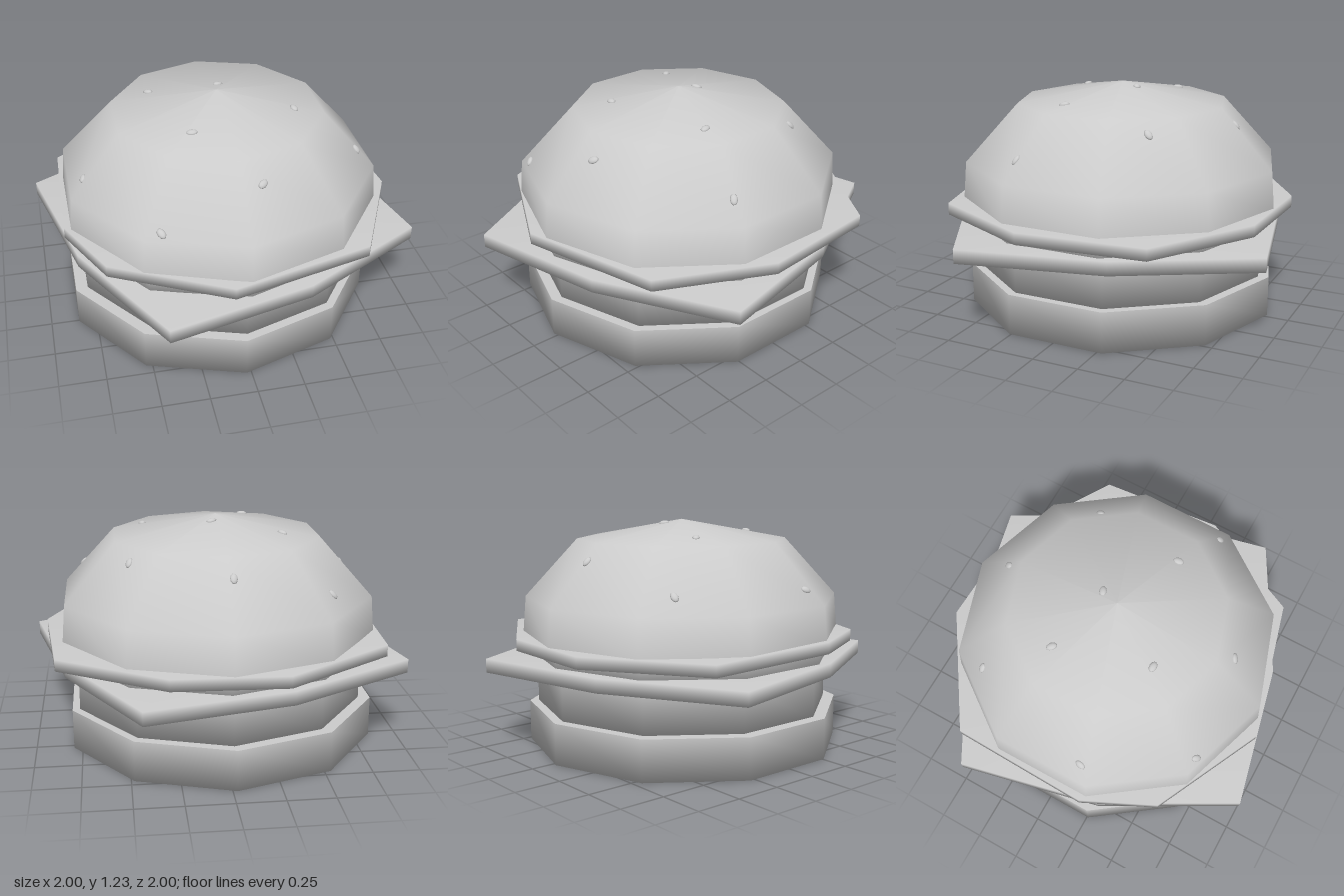
import * as THREE from 'three';

const SIDES = 10;
const material = new THREE.MeshStandardMaterial({ color: 0xcccccc });

function add(group, name, geometry) {
  const mesh = new THREE.Mesh(geometry, material);
  mesh.name = name;
  group.add(mesh);
  return mesh;
}

// Ten-sided turned part; a repeated profile point makes a sharp edge
function turned(profile) {
  return new THREE.LatheGeometry(profile.map(([r, y]) => new THREE.Vector2(r, y)), SIDES);
}

const disc = (r, y0, y1) => turned([[0, y0], [r, y0], [r, y1], [r, y1], [0, y1]]);

// Thin slice with soft edges; outline points are [x, z, lift], counter-clockwise from above
function slice(outline, y0, y1) {
  const n = outline.length;
  const positions = [];
  const index = [];
  for (const y of [y0, y1]) for (const [x, z, lift = 0] of outline) positions.push(x, y + lift, z);
  positions.push(0, y0, 0, 0, y1, 0);
  for (let i = 0; i < n; i++) {
    const j = (i + 1) % n;
    index.push(i, j, n + j, i, n + j, n + i);
    index.push(2 * n, j, i, 2 * n + 1, n + i, n + j);
  }
  const geometry = new THREE.BufferGeometry();
  geometry.setAttribute('position', new THREE.Float32BufferAttribute(positions, 3));
  geometry.setIndex(index);
  geometry.computeVertexNormals();
  return geometry;
}

// Point and normal on the faceted dome above (x, z)
function onDome(x, z, profile) {
  let reach = -1, facing = 0;
  for (let i = 0; i < SIDES; i++) {
    const a = ((i + 0.5) / SIDES) * Math.PI * 2;
    const d = x * Math.sin(a) + z * Math.cos(a);
    if (d > reach) { reach = d; facing = a; }
  }
  const c = Math.cos(Math.PI / SIDES);
  const r = reach / c;
  let k = 0;
  while (k < profile.length - 2 && profile[k + 1][0] > r) k++;
  const [r0, y0] = profile[k], [r1, y1] = profile[k + 1];
  const y = y0 + ((y1 - y0) * (r0 - r)) / (r0 - r1);
  const out = y1 - y0, up = (r0 - r1) * c;
  const normal = new THREE.Vector3(Math.sin(facing) * out, up, Math.cos(facing) * out).normalize();
  return { point: new THREE.Vector3(x, y, z), normal };
}

export function createModel() {
  const group = new THREE.Group();
  group.name = 'burger';

  // Lower bun, patty and the filling above the cheese
  add(group, 'bottomBun', disc(0.865, 0, 0.22)).position.set(-0.025, 0, -0.01);
  add(group, 'patty', disc(0.81, 0.21, 0.45)).position.set(-0.013, 0, -0.01);
  add(group, 'tomato', disc(0.843, 0.46, 0.58)).position.set(0, 0, -0.005);

  // Cheese: a square with bowed edges, one corner drooping
  const cheese = [];
  for (let i = 0; i < 4; i++) {
    const a = (i * Math.PI) / 2;
    const turn = (x, z, lift) => [
      x * Math.cos(a) + z * Math.sin(a), z * Math.cos(a) - x * Math.sin(a), lift];
    cheese.push(turn(-0.445, 1, i === 0 ? -0.015 : 0), turn(0.32, 0.825, 0));
  }
  add(group, 'cheese', slice(cheese, 0.427, 0.502));

  // Lettuce: uneven leaf, slightly raised on one side
  const lettuce = [
    [-0.1, 0.91], [0.655, 0.71], [0.93, 0.13], [0.865, -0.55], [0.31, -0.89],
    [-0.28, -0.91], [-0.86, -0.52], [-0.88, 0.24, 0.018], [-0.7, 0.62, 0.018],
  ];
  add(group, 'lettuce', slice(lettuce, 0.552, 0.615));

  // Domed upper bun
  const dome = [[0.883, 0.6], [0.865, 0.81], [0.577, 1.125], [0, 1.23]];
  const topBun = new THREE.Group();
  topBun.name = 'topBun';
  topBun.position.set(-0.006, 0, -0.01);
  group.add(topBun);
  add(topBun, 'bunDome', turned([[0, 0.6], dome[0], ...dome]));

  // Sesame seeds half sunk into the dome
  const seeds = [
    [-0.02, -0.65], [-0.55, -0.51], [0.48, -0.37], [-0.34, -0.19], [0.03, -0.1], [0.39, 0.15],
    [-0.19, 0.31], [-0.75, 0.2], [0.72, 0.25], [0.1, 0.64], [-0.42, 0.7],
  ];
  const seedGeometry = new THREE.SphereGeometry(1, 10, 6).scale(0.02, 0.013, 0.03);
  const up = new THREE.Vector3(0, 1, 0);
  seeds.forEach(([x, z], i) => {
    const { point, normal } = onDome(x, z, dome);
    const seed = add(topBun, 'sesameSeed', seedGeometry);
    seed.position.copy(point);
    seed.quaternion.setFromUnitVectors(up, normal);
    seed.rotateY(i * 1.3);
  });

  return group;
}
